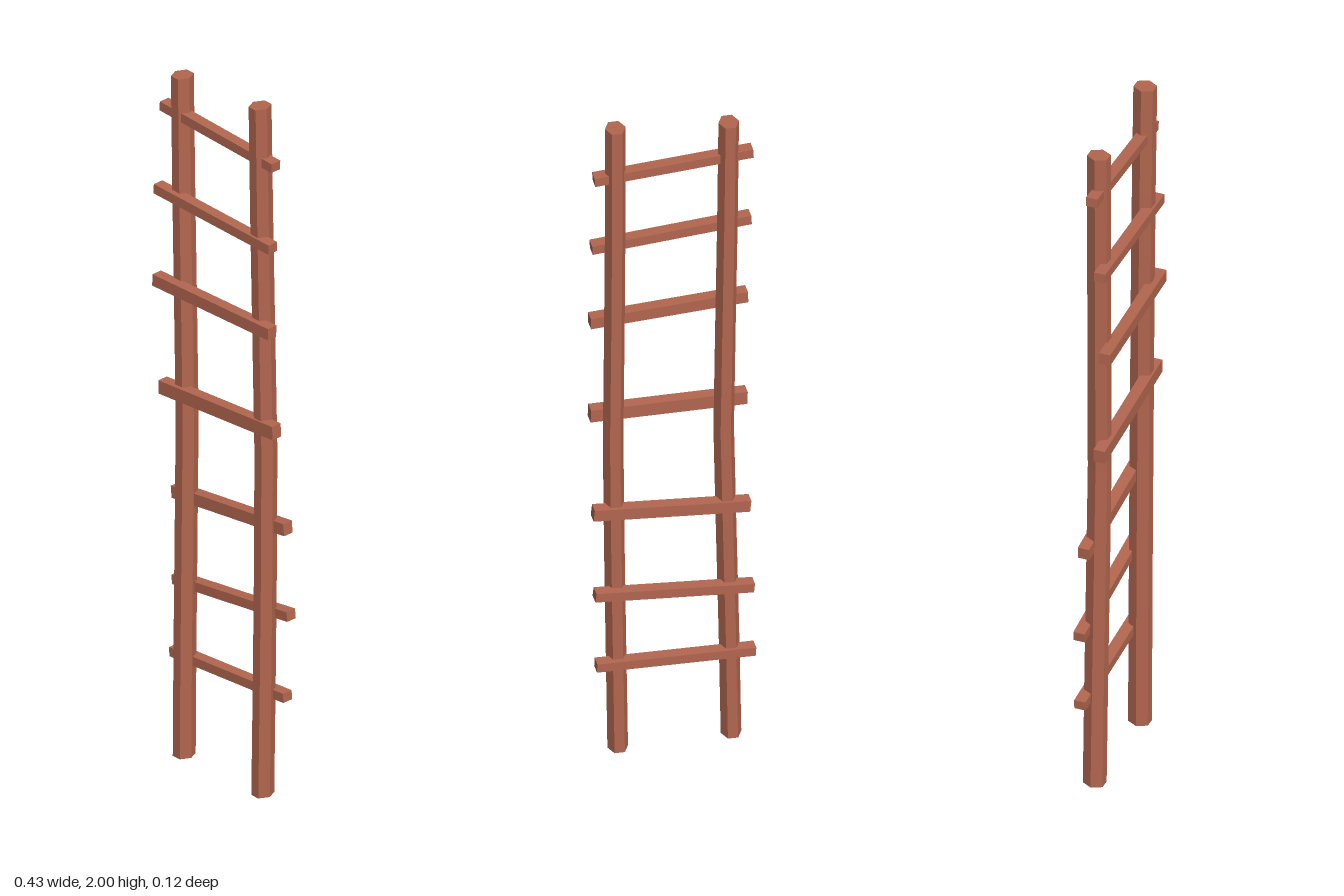
import * as THREE from 'three';

const wood = new THREE.MeshStandardMaterial({ color: 0xb2664f, flatShading: true });

// Hexagonal pole whose centre line bends through evenly spaced points [x, y, z]
function makeRail(name, points) {
  const height = points[points.length - 1][1];
  const curve = new THREE.CatmullRomCurve3(points.map(p => new THREE.Vector3(...p)));
  const geo = new THREE.CylinderGeometry(0.027, 0.027, height, 6, 6, false, Math.PI / 6);
  geo.translate(0, height / 2, 0);
  const pos = geo.attributes.position;
  for (let i = 0; i < pos.count; i++) {
    const c = curve.getPoint(THREE.MathUtils.clamp(pos.getY(i) / height, 0, 1));
    pos.setX(i, pos.getX(i) + c.x);
    pos.setZ(i, pos.getZ(i) * 1.18 + c.z);
  }
  geo.computeVertexNormals();
  const mesh = new THREE.Mesh(geo, wood);
  mesh.name = name;
  return mesh;
}

// Square bar laid between two end points
function makeRung(name, a, b, thickness) {
  const start = new THREE.Vector3(...a), end = new THREE.Vector3(...b);
  const mesh = new THREE.Mesh(new THREE.BoxGeometry(0.031, thickness, start.distanceTo(end)), wood);
  mesh.position.copy(start).add(end).multiplyScalar(0.5);
  mesh.lookAt(end);
  mesh.name = name;
  return mesh;
}

export function createModel() {
  const ladder = new THREE.Group();
  ladder.name = 'ladder';

  // Slightly crooked side rails
  ladder.add(makeRail('rightRail', [
    [-0.156, 0, -0.004], [-0.148, 0.494, -0.001], [-0.138, 0.988, 0.002], [-0.146, 1.481, 0.004], [-0.152, 1.975, 0.006],
  ]));
  ladder.add(makeRail('leftRail', [
    [0.142, 0, -0.008], [0.149, 0.5, -0.009], [0.154, 1, -0.008], [0.148, 1.5, -0.002], [0.146, 2, 0.005],
  ]));

  // Rungs: height, depth and x at each end, and thickness
  const rungs = [
    { y: [0.275, 0.295], z: [-0.02, -0.037], x: [-0.215, 0.205], t: 0.026 },
    { y: [0.485, 0.53], z: [-0.024, -0.045], x: [-0.21, 0.21], t: 0.027 },
    { y: [0.745, 0.787], z: [-0.015, -0.032], x: [-0.202, 0.212], t: 0.034 },
    { y: [1.064, 1.081], z: [0.029, 0.008], x: [-0.202, 0.213], t: 0.038 },
    { y: [1.378, 1.371], z: [0.046, 0.021], x: [-0.207, 0.21], t: 0.033 },
    { y: [1.636, 1.613], z: [0.035, 0.016], x: [-0.214, 0.207], t: 0.027 },
    { y: [1.868, 1.843], z: [0.013, 0.002], x: [-0.215, 0.203], t: 0.026 },
  ];
  rungs.forEach(({ y, z, x, t }, i) => {
    ladder.add(makeRung(`rung${i + 1}`, [x[0], y[0], z[0]], [x[1], y[1], z[1]], t));
  });
  return ladder;
}
